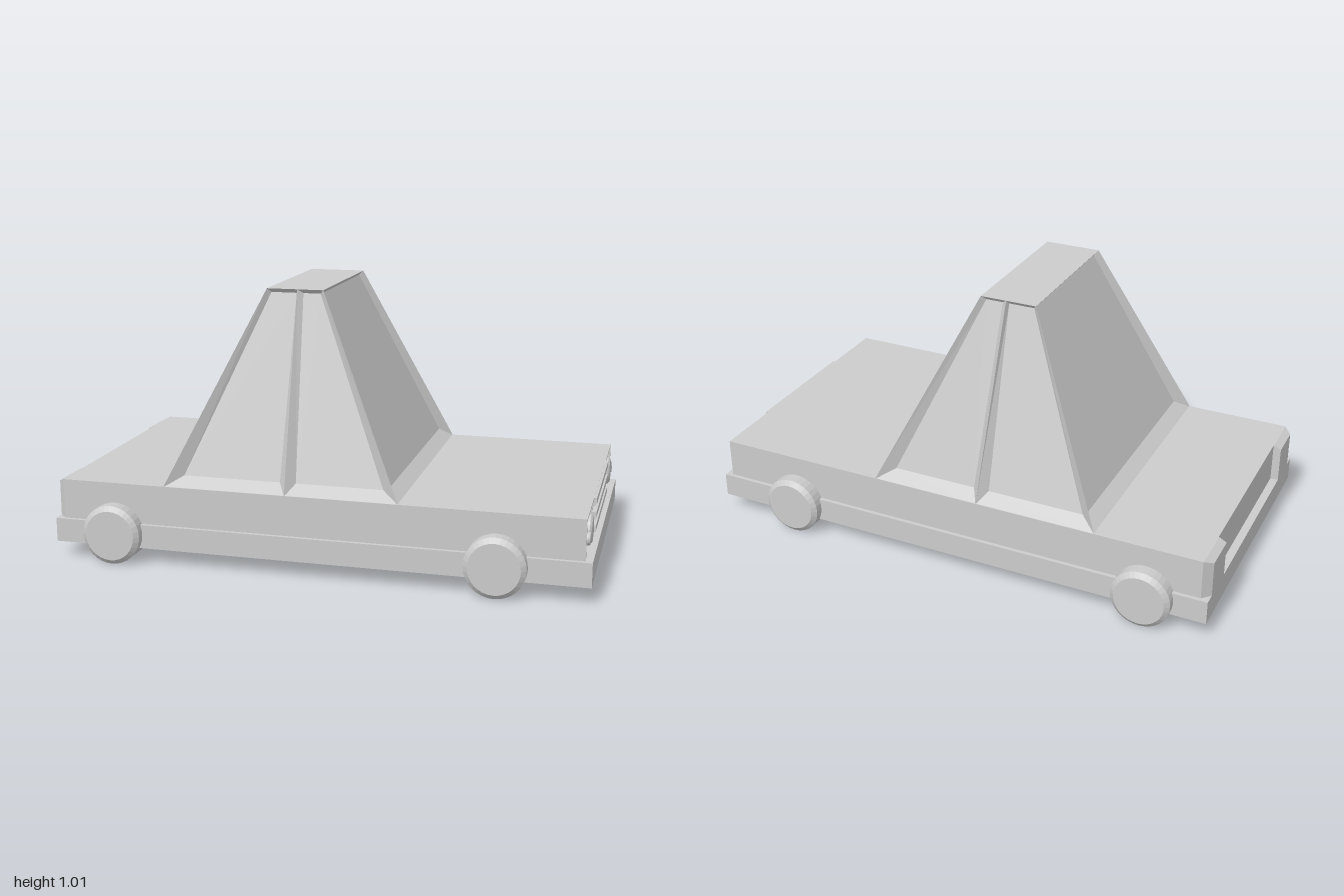
import * as THREE from 'three';

const mat = new THREE.MeshStandardMaterial({ color: 0xcccccc, flatShading: true });
const thin = new THREE.MeshStandardMaterial({ color: 0xcccccc, flatShading: true, side: THREE.DoubleSide });

export function createModel() {
  const car = new THREE.Group();
  car.name = 'car';

  const add = (name, geometry, parent = car, material = mat) => {
    const mesh = new THREE.Mesh(geometry, material);
    mesh.name = name;
    parent.add(mesh);
    return mesh;
  };

  // Box given by its limits on each axis
  const box = (name, x0, x1, y0, y1, z0, z1) =>
    add(name, new THREE.BoxGeometry(x1 - x0, y1 - y0, z1 - z0))
      .position.set((x0 + x1) / 2, (y0 + y1) / 2, (z0 + z1) / 2);

  // Profile in x and y, extruded along z
  const prism = (name, points, z0, z1) => {
    const shape = new THREE.Shape(points.map(p => new THREE.Vector2(...p)));
    add(name, new THREE.ExtrudeGeometry(shape, { depth: z1 - z0, bevelEnabled: false })).position.z = z0;
  };

  // Flat faces from corners listed counter-clockwise as seen from outside
  const quads = list => {
    const g = new THREE.BufferGeometry();
    const pos = list.flatMap(([a, b, c, d]) => [a, b, c, a, c, d].flat());
    g.setAttribute('position', new THREE.Float32BufferAttribute(pos, 3));
    g.computeVertexNormals();
    return g;
  };

  // Sunken window: glass plus sloping walls out to the knife-edged pillars
  const sunken = (outer, glass) => quads([
    glass,
    ...outer.map((p, i) => {
      const j = (i + 1) % 4;
      return [p, outer[j], glass[j], glass[i]];
    }),
  ]);

  // Lower body with bumpers, and upper body
  box('lowerBody', -1, 1, 0.06, 0.15, -0.54, 0.54);
  box('upperBody', -0.97, 0.955, 0.15, 0.3, -0.525, 0.525);

  // Nose: bonnet lip, cheeks and grille with slanted slats
  prism('bonnetLip', [[0.95, 0.28], [0.975, 0.293], [0.975, 0.3], [0.95, 0.3]], -0.525, 0.525);
  box('grilleBack', 0.95, 0.968, 0.15, 0.295, -0.26, 0.26);
  for (const y of [0.15, 0.2, 0.253]) {
    prism('grilleSlat', [[0.96, y], [0.985, y + 0.024], [0.985, y + 0.046], [0.96, y + 0.046]], -0.26, 0.26);
  }

  // Round lamps with their axis along x
  const lamp = (name, y, z, r, rim) => {
    const profile = [[0, 0], [r, 0], [r, 0.023], [r * rim, 0.03], [0, 0.03]];
    const m = add(name, new THREE.LatheGeometry(profile.map(p => new THREE.Vector2(...p)), 24));
    m.rotation.z = -Math.PI / 2;
    m.position.set(0.955, y, z);
  };

  for (const s of [1, -1]) {
    const span = (a, b) => [Math.min(a * s, b * s), Math.max(a * s, b * s)];
    box('noseCheek', 0.95, 0.975, 0.15, 0.3, ...span(0.515, 0.525));
    lamp('headlight', 0.225, 0.395 * s, 0.053, 0.85);
    lamp('indicator', 0.218, 0.48 * s, 0.024, 0.9);
    // Tail lamp wrapping out from the rear panel, chamfered at top and side
    const rear = [[-0.965, 0.15], [-0.965, 0.3], [-0.972, 0.3], [-1, 0.285], [-1, 0.15]];
    prism('tailLight', rear.reverse(), ...span(0.355, 0.495));
    add('tailLightCorner', quads([
      [[-1, 0.15, 0.495], [-0.97, 0.15, 0.525], [-0.97, 0.3, 0.525], [-1, 0.285, 0.495]],
      [[-1, 0.285, 0.495], [-0.97, 0.3, 0.525], [-0.97, 0.3, 0.495], [-0.972, 0.3, 0.495]],
    ]), car, thin).scale.z = s;
  }

  // Cabin: tapered, with every window sunk behind sharp pillars
  const cabin = new THREE.Group();
  cabin.name = 'cabin';
  car.add(cabin);
  const Y0 = 0.298, Y1 = 1.015, G0 = 0.335, G1 = 1.0;   // base, roof, glass bottom, glass top
  const B = 0.525, T = 0.293;                            // half widths at base and roof
  add('windscreen', sunken(
    [[0.315, Y0, B], [0.315, Y0, -B], [-0.02, Y1, -T], [-0.02, Y1, T]],
    [[0.265, G0, 0.475], [0.265, G0, -0.475], [-0.033, G1, -0.275], [-0.033, G1, 0.275]]), cabin, thin);
  add('rearWindow', sunken(
    [[-0.57, Y0, -B], [-0.57, Y0, B], [-0.235, Y1, T], [-0.235, Y1, -T]],
    [[-0.515, G0, -0.475], [-0.515, G0, 0.475], [-0.222, G1, 0.275], [-0.222, G1, -0.275]]), cabin, thin);
  for (const s of [1, -1]) {
    // Front and rear side windows meet at the middle pillar
    add('rearSideWindow', sunken(
      [[-0.57, Y0, B], [-0.105, Y0, B], [-0.12, Y1, T], [-0.235, Y1, T]],
      [[-0.505, G0, 0.475], [-0.135, G0, 0.475], [-0.125, G1, 0.278], [-0.222, G1, 0.278]]), cabin, thin).scale.z = s;
    add('frontSideWindow', sunken(
      [[-0.105, Y0, B], [0.315, Y0, B], [-0.02, Y1, T], [-0.12, Y1, T]],
      [[-0.075, G0, 0.475], [0.25, G0, 0.475], [-0.035, G1, 0.278], [-0.1, G1, 0.278]]), cabin, thin).scale.z = s;
  }
  add('roof', quads([[[-0.235, Y1, T], [-0.02, Y1, T], [-0.02, Y1, -T], [-0.235, Y1, -T]]]), cabin, thin);

  // Wheels: wide cylinders with a bevelled outer rim
  const tyre = [[0, 0.345], [0.112, 0.345], [0.112, 0.57], [0.094, 0.585], [0, 0.585]]
    .map(p => new THREE.Vector2(...p));
  for (const x of [-0.765, 0.668]) {
    for (const s of [1, -1]) {
      const wheel = add('wheel', new THREE.LatheGeometry(tyre, 32));
      wheel.rotation.x = s * Math.PI / 2;
      wheel.position.set(x, 0.112, 0);
    }
  }
  return car;
}
